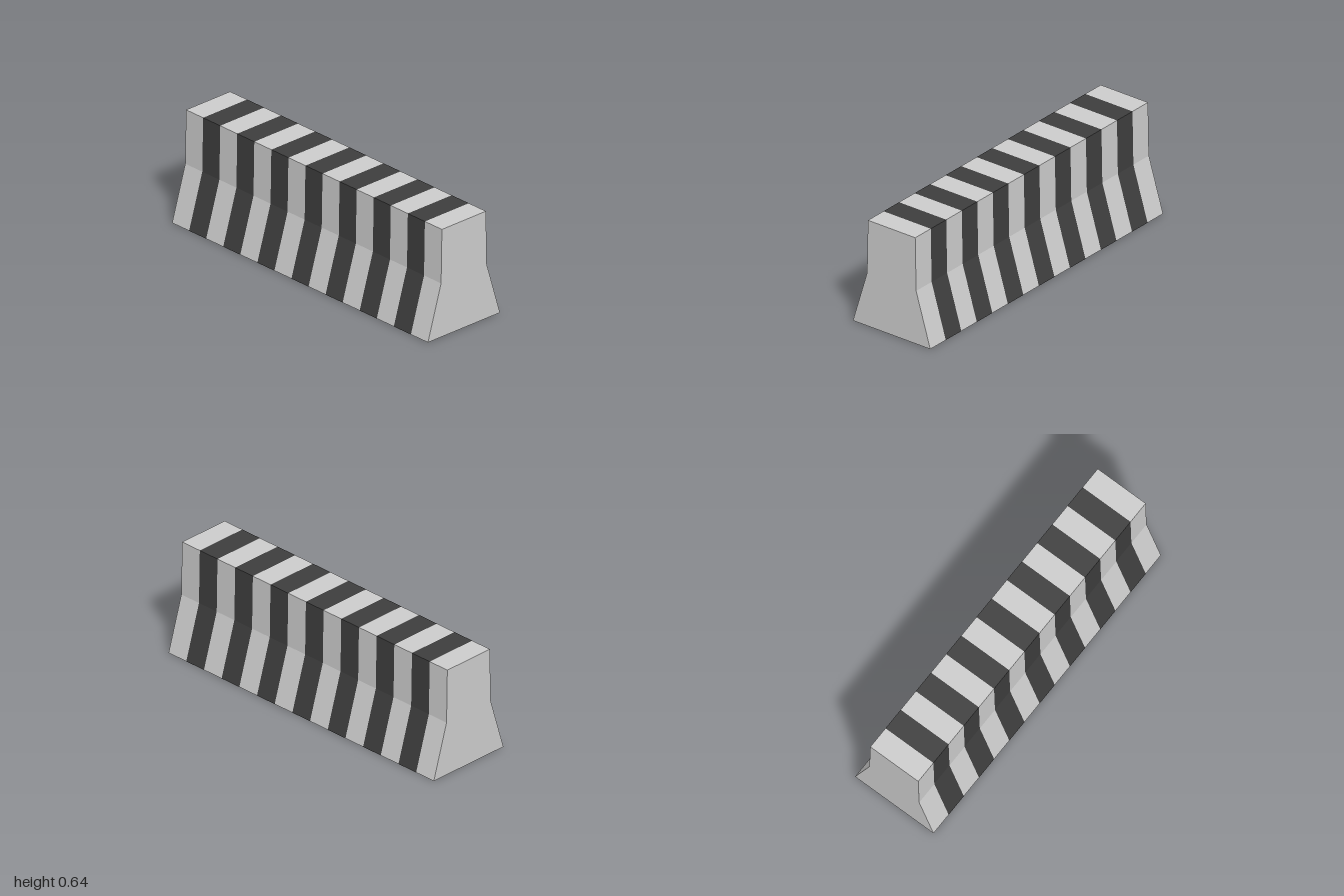
import * as THREE from 'three';

const STRIPES = 15;
const LENGTH = 2;

// Cross-section as [z, y], from the front foot over the top to the back foot
const half = [[0.265, 0], [0.168, 0.32], [0.162, 0.64]];
const profile = [...half, ...half.map(([z, y]) => [-z, y]).reverse()];

// Open sleeve of the cross-section between x0 and x1, including its underside
function sleeve(x0, x1) {
  const positions = [];
  profile.forEach(([z, y], i) => {
    const [z2, y2] = profile[(i + 1) % profile.length];
    const a = [x0, y, z], b = [x1, y, z], c = [x1, y2, z2], d = [x0, y2, z2];
    positions.push(...a, ...b, ...c, ...a, ...c, ...d);
  });
  const geometry = new THREE.BufferGeometry();
  geometry.setAttribute('position', new THREE.Float32BufferAttribute(positions, 3));
  geometry.computeVertexNormals();
  return geometry;
}

export function createModel() {
  const model = new THREE.Group();
  model.name = 'roadBarrier';
  const grey = new THREE.MeshStandardMaterial({ color: 0xcccccc, flatShading: true });
  const dark = new THREE.MeshStandardMaterial({ color: 0x3d3d3d, flatShading: true });

  // Alternating stripes along the barrier, light at both ends
  const width = LENGTH / STRIPES;
  for (let i = 0; i < STRIPES; i++) {
    const x0 = -LENGTH / 2 + i * width;
    const stripe = new THREE.Mesh(sleeve(x0, x0 + width), i % 2 ? dark : grey);
    stripe.name = i % 2 ? 'darkStripe' : 'lightStripe';
    model.add(stripe);
  }

  // Flat end faces
  const outline = new THREE.Shape(profile.map(([z, y]) => new THREE.Vector2(z, y)));
  for (const side of [1, -1]) {
    const end = new THREE.Mesh(new THREE.ShapeGeometry(outline), grey);
    end.name = side > 0 ? 'leftEnd' : 'rightEnd';
    end.position.x = side * LENGTH / 2;
    end.rotation.y = side * Math.PI / 2;
    model.add(end);
  }
  return model;
}
